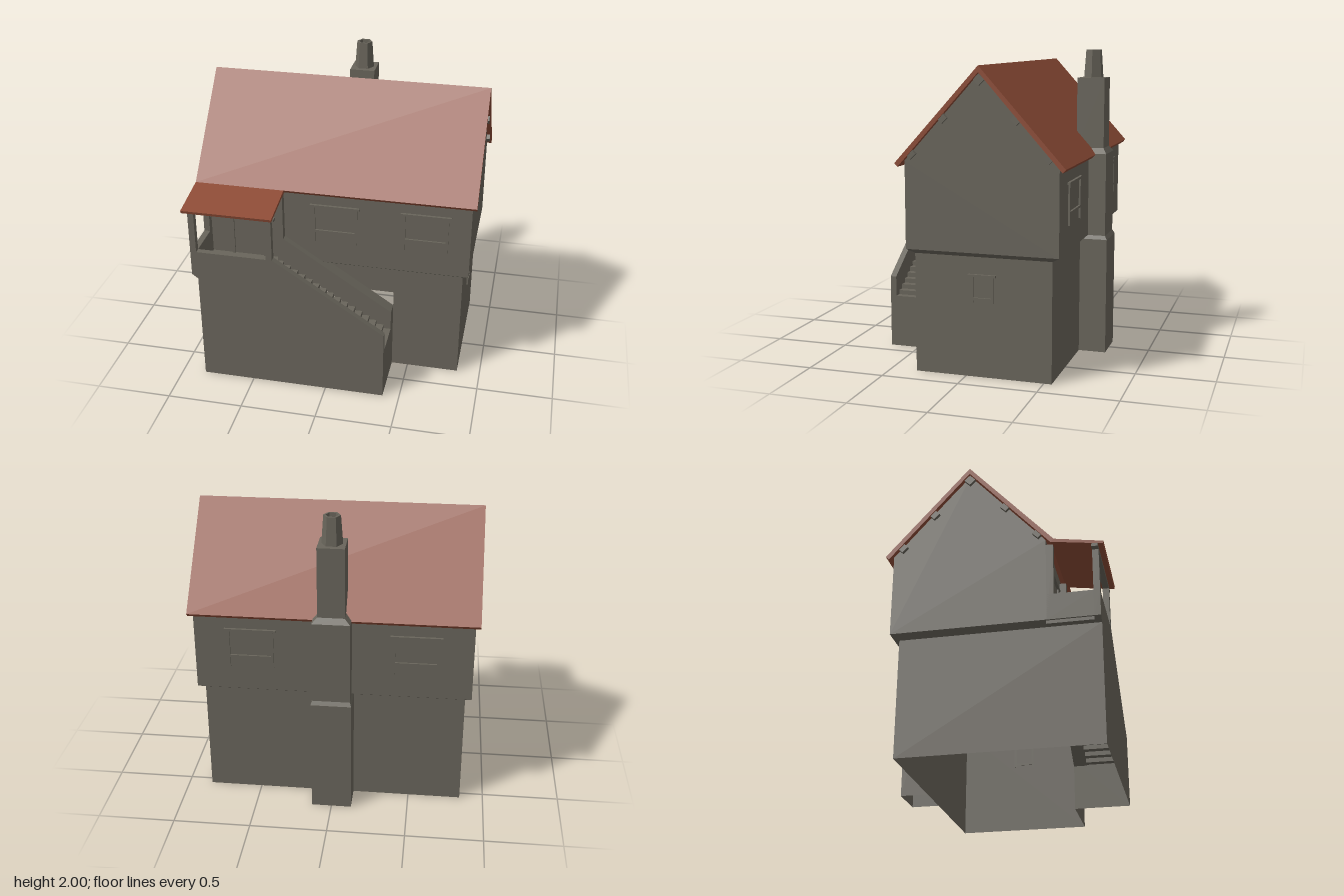
import * as THREE from 'three';

const wall = new THREE.MeshStandardMaterial({ color: 0x69655b, side: THREE.DoubleSide });
wall.name = 'greyPlaster';
const tile = new THREE.MeshStandardMaterial({ color: 0x8e4c36, side: THREE.DoubleSide });
tile.name = 'redRoofTile';

export function createModel() {
  const root = new THREE.Group();
  root.name = 'house';

  const add = (name, geometry, material = wall, parent = root) => {
    const mesh = new THREE.Mesh(geometry, material);
    mesh.name = name;
    parent.add(mesh);
    return mesh;
  };
  const group = (name) => {
    const g = new THREE.Group();
    g.name = name;
    root.add(g);
    return g;
  };
  // box given by its extents
  const box = (name, x0, x1, y0, y1, z0, z1, parent = root) =>
    add(name, new THREE.BoxGeometry(x1 - x0, y1 - y0, z1 - z0), wall, parent)
      .position.set((x0 + x1) / 2, (y0 + y1) / 2, (z0 + z1) / 2);
  // flat convex faces, each a list of corners
  const faces = (name, list, parent = root) => {
    const pos = [];
    for (const p of list)
      for (let i = 1; i < p.length - 1; i++) pos.push(...p[0], ...p[i], ...p[i + 1]);
    const g = new THREE.BufferGeometry();
    g.setAttribute('position', new THREE.Float32BufferAttribute(pos, 3));
    g.computeVertexNormals();
    return add(name, g, wall, parent);
  };
  // side faces between two corner rings
  const band = (a, b) => a.map((p, i) => {
    const j = (i + 1) % a.length;
    return [p, a[j], b[j], b[i]];
  });
  const ring = (hx, y, zb, zf) => [[-hx, y, zb], [-hx, y, zf], [hx, y, zf], [hx, y, zb]];
  const shape = (pts) => new THREE.Shape(pts.map(([a, b]) => new THREE.Vector2(a, b)));
  const extrude = (pts, depth) =>
    new THREE.ExtrudeGeometry(shape(pts), { depth, bevelEnabled: false });
  // (z, y) profile swept along x
  const sweepX = (pts, x0, x1) =>
    extrude(pts, x1 - x0).rotateY(-Math.PI / 2).translate(x1, 0, 0);

  // Ground storey: an open-bottomed shell that takes in the stair block
  const foot = [[0.845, 0.33], [0.845, -0.55], [-0.845, -0.55], [-0.845, 0.7]];
  const lower = [];
  for (let i = 0; i < 3; i++) {
    const [x0, z0] = foot[i], [x1, z1] = foot[i + 1];
    lower.push([[x0, 0, z0], [x1, 0, z1], [x1, 0.76, z1], [x0, 0.76, z0]]);
  }
  lower.push([[0.39, 0, 0.33], [0.845, 0, 0.33], [0.845, 0.76, 0.33], [0.39, 0.76, 0.33]]);
  faces('groundStoreyWalls', lower);
  faces('stairBlockWalls', [
    [[-0.845, 0, 0.7], [0.39, 0, 0.7], [0.39, 0.3, 0.7], [-0.3, 0.76, 0.7], [-0.845, 0.76, 0.7]],
    [[0.39, 0, 0.7], [0.39, 0, 0.33], [0.39, 0.345, 0.33], [0.39, 0.345, 0.7]],
  ]);

  // Jettied upper storey with gables
  const jettyTop = ring(0.885, 0.79, -0.6, 0.375);
  faces('jetty', band(ring(0.845, 0.76, -0.55, 0.33), jettyTop));
  const gable = (x) => [[x, 0.79, -0.6], [x, 0.79, 0.375], [x, 1.34, 0.375],
    [x, 1.877, -0.11], [x, 1.34, -0.6]];
  const eaveWall = (z) => [[-0.885, 0.79, z], [0.885, 0.79, z], [0.885, 1.34, z], [-0.885, 1.34, z]];
  faces('upperStoreyWalls', [gable(-0.885), gable(0.885), eaveWall(0.375), eaveWall(-0.6)]);

  // Roofs
  add('mainRoof', sweepX([[0.43, 1.325], [-0.11, 1.92], [-0.645, 1.325], [-0.625, 1.303],
    [-0.11, 1.88], [0.41, 1.303]], -0.915, 0.915), tile);
  add('porchRoof', sweepX([[0.43, 1.325], [0.735, 1.273], [0.73, 1.255], [0.41, 1.305]],
    -0.915, -0.325), tile);

  // Purlin ends under the gable verges
  const purlins = group('purlinEnds');
  for (const side of [-1, 1])
    for (const [z, y] of [[-0.11, 1.837], [0.125, 1.607], [-0.34, 1.607], [0.33, 1.385], [-0.54, 1.385]]) {
      const m = add('purlinEnd', new THREE.BoxGeometry(0.04, 0.05, 0.05), wall, purlins);
      m.position.set(side * 0.887, y, z);
      m.rotation.x = Math.PI / 4;
    }

  // Stairs with a sloping parapet on each side
  const stairs = group('stairs');
  for (let i = 0; i < 15; i++) {
    const x = 0.39 - i * 0.0487, y = 0.345 + i * 0.0297;
    box('step', x - 0.0487, x, y - 0.04, y + (i ? 0 : 0.001), 0.42, 0.66, stairs);
  }
  add('outerParapet', extrude([[0.39, 0.3], [0.39, 0.48], [-0.34, 0.96], [-0.885, 0.96],
    [-0.885, 0.79], [-0.845, 0.76], [-0.3, 0.76]], 0.04), wall, stairs).position.z = 0.66;
  add('innerParapet', extrude([[0.39, 0.3], [0.39, 0.48], [-0.34, 0.96], [-0.34, 0.76],
    [-0.3, 0.76]], 0.09), wall, stairs).position.z = 0.33;

  // Porch landing
  const porch = group('porch');
  box('landingFloor', -0.88, -0.34, 0.765, 0.79, 0.37, 0.66, porch);
  box('landingParapet', -0.885, -0.845, 0.79, 0.96, 0.375, 0.66, porch);
  faces('landingJetty', [[[-0.845, 0.76, 0.33], [-0.845, 0.76, 0.7],
    [-0.885, 0.79, 0.7], [-0.885, 0.79, 0.375]]], porch);
  for (const x of [-0.885, -0.38]) {
    box('frontPost', x, x + 0.04, 0.96, 1.25, 0.66, 0.7, porch);
    box('wallPost', x, x + 0.04, 0.79, 1.305, 0.375, 0.42, porch);
  }
  box('porchBeam', -0.925, -0.32, 1.237, 1.257, 0.66, 0.7, porch);

  // Framed openings, built facing +z around their own centre line
  const frame = (name, w, y0, sillY, y1, bar, over) => {
    const g = group(name);
    for (const s of [-1, 1]) {
      const x = s * (w / 2 - bar / 2);
      box('jamb', x - bar / 2, x + bar / 2, y0, y1, -0.005, 0.012, g);
    }
    box('lintel', -w / 2 - over, w / 2 + over, y1, y1 + 0.015, -0.005, 0.017, g);
    if (sillY) box('sill', -w / 2 + bar, w / 2 - bar, sillY - 0.015, sillY, -0.005, 0.012, g);
    return g;
  };
  const upperWindow = (x, z, turn) => {
    const g = frame('upperWindow', 0.295, 0.95, 1.035, 1.205, 0.016, 0.016);
    g.position.set(x, 0, z);
    g.rotation.y = turn;
  };
  for (const x of [0, 0.595]) upperWindow(x, 0.375, 0);
  for (const x of [-0.525, 0.525]) upperWindow(x, -0.6, Math.PI);
  const small = frame('sideWindow', 0.145, 0.475, 0.505, 0.637, 0.016, 0.016);
  small.position.set(0.845, 0, -0.108);
  small.rotation.y = Math.PI / 2;
  frame('doorFrame', 0.24, 0.79, 0, 1.205, 0.02, 0.016).position.set(-0.587, 0, 0.375);

  // Stepped chimney
  const sections = [
    [0.13, 0, -0.73, -0.55], [0.13, 0.765, -0.73, -0.55], [0.12, 0.79, -0.715, -0.55],
    [0.12, 1.33, -0.715, -0.55], [0.085, 1.365, -0.69, -0.51], [0.085, 1.82, -0.69, -0.51],
  ].map((s) => ring(...s));
  const chimney = [];
  for (let i = 0; i < 5; i++) chimney.push(...band(sections[i], sections[i + 1]));
  chimney.push(sections[5].slice().reverse());
  faces('chimney', chimney);

  // Hexagonal hollow chimney pot
  const potProfile = [[0.066, 1.82], [0.053, 2], [0.04, 2], [0.04, 1.88], [0, 1.88]]
    .map(([r, y]) => new THREE.Vector2(r, y));
  const pot = new THREE.LatheGeometry(potProfile, 6, Math.PI / 6).toNonIndexed();
  pot.computeVertexNormals();
  add('chimneyPot', pot).position.z = -0.6;

  return root;
}
